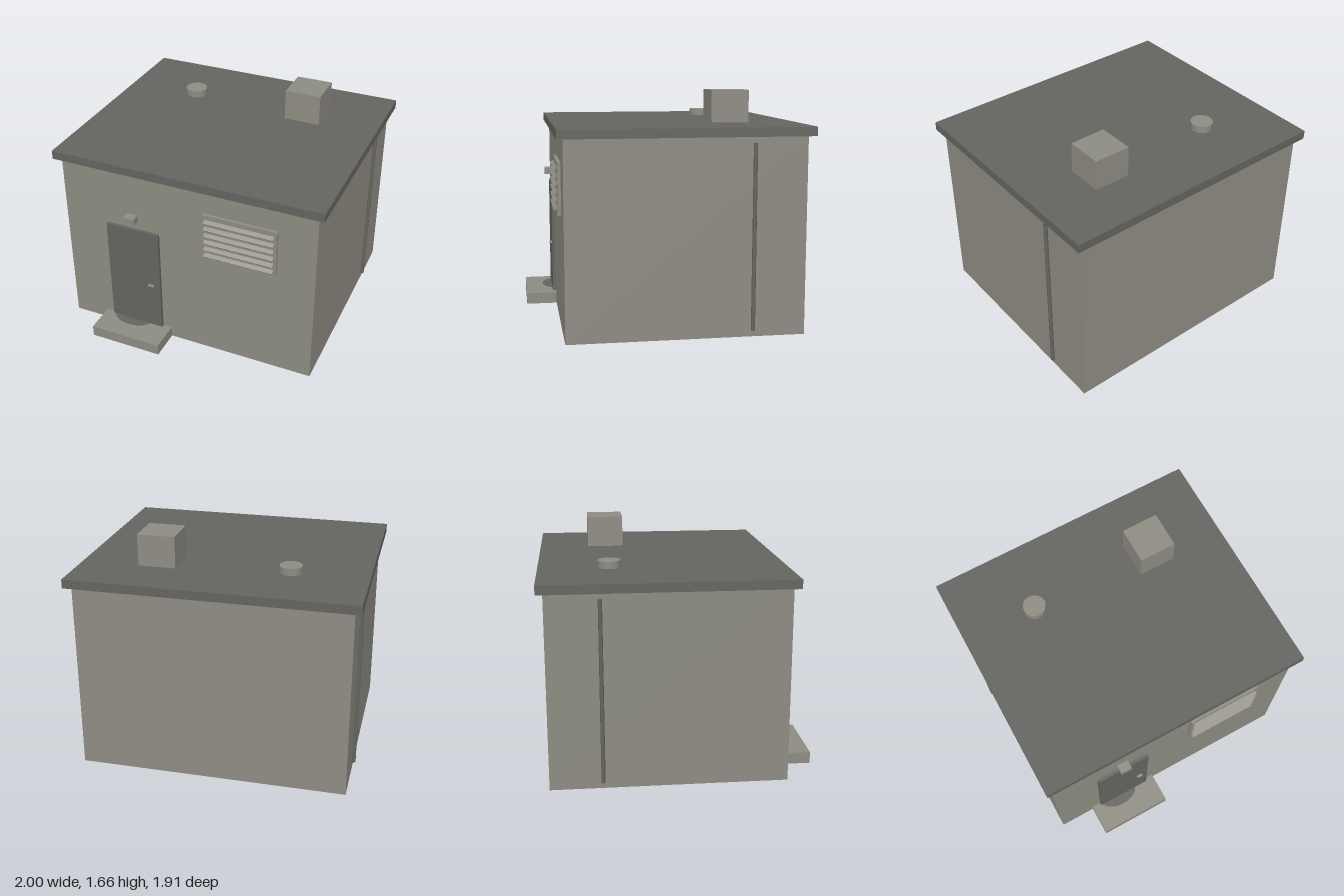
import * as THREE from 'three';

export function createModel() {
  const model = new THREE.Group();
  const concrete = new THREE.MeshStandardMaterial({ color: 0x8e8c82 });
  concrete.name = 'concrete';
  const dark = new THREE.MeshStandardMaterial({ color: 0x646560 });
  dark.name = 'darkGrey';

  const add = (name, geometry, material, x, y, z) => {
    const mesh = new THREE.Mesh(geometry, material);
    mesh.name = name;
    mesh.position.set(x, y, z);
    model.add(mesh);
    return mesh;
  };
  // Box given by its extents on each axis
  const box = (name, material, [x0, x1], [y0, y1], [z0, z1]) =>
    add(name, new THREE.BoxGeometry(x1 - x0, y1 - y0, z1 - z0), material,
      (x0 + x1) / 2, (y0 + y1) / 2, (z0 + z1) / 2);

  // Building shell and overhanging roof slab
  box('walls', concrete, [-0.953, 0.953], [0.005, 1.37], [-0.907, 0.727]);
  box('roofSlab', dark, [-1, 1], [1.367, 1.43], [-0.953, 0.77]);

  // Rooftop fittings
  box('roofUnit', concrete, [0.32, 0.585], [1.435, 1.66], [-0.59, -0.325]);
  box('roofUnitBase', dark, [0.335, 0.57], [1.428, 1.436], [-0.575, -0.34]);
  add('roofVent', new THREE.CylinderGeometry(0.08, 0.08, 0.055, 32), concrete, -0.46, 1.4525, -0.46);

  // Entrance
  box('doorstep', concrete, [-0.685, -0.14], [0.002, 0.085], [0.715, 0.953]);
  const mat = add('doorstepPatch', new THREE.CylinderGeometry(1, 1, 0.087, 32), dark, -0.455, 0.0435, 0.727);
  mat.scale.set(0.15, 1, 0.095);
  box('door', dark, [-0.617, -0.207], [0.085, 0.913], [0.72, 0.75]);
  box('doorHandle', concrete, [-0.3, -0.255], [0.452, 0.464], [0.748, 0.768]);
  box('doorLamp', concrete, [-0.455, -0.37], [0.98, 1.03], [0.72, 0.792]);

  // Louvred vent with slats sloping down and outwards
  box('louvrePanel', concrete, [0.135, 0.68], [0.825, 1.185], [0.72, 0.75]);
  for (let i = 0; i < 6; i++) {
    const slat = add('louvreSlat', new THREE.BoxGeometry(0.505, 0.007, 0.032), concrete,
      0.407, 0.867 + i * 0.0545, 0.76);
    slat.rotation.x = 0.6;
  }

  // Downpipes on both sides
  for (const side of [-1, 1]) {
    add('downpipe', new THREE.CylinderGeometry(0.014, 0.014, 1.275, 16), dark, side * 0.963, 0.6875, -0.543);
  }
  return model;
}
